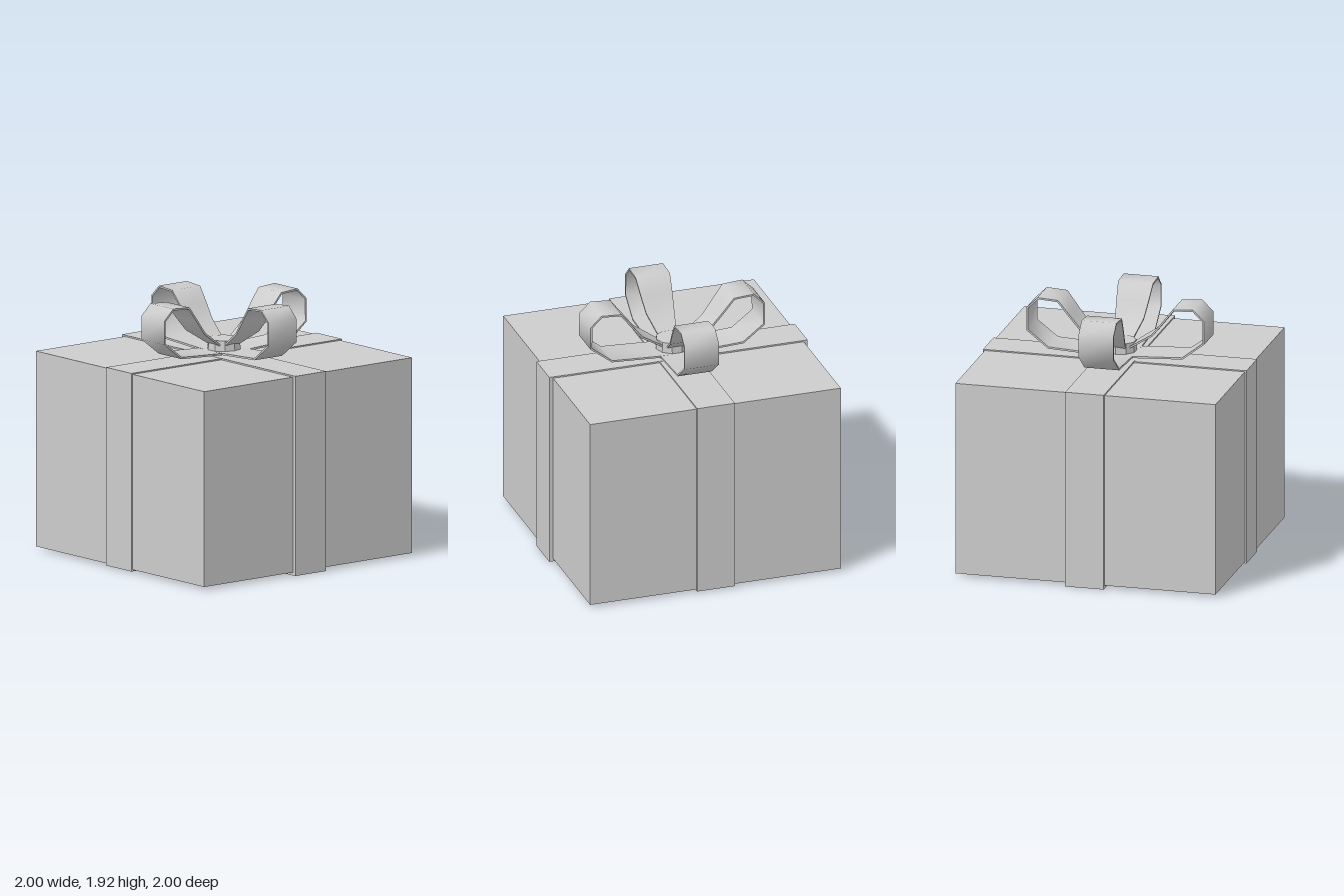
import * as THREE from 'three';

// One bow loop along +x: [x, y, half width] on the outer face, from the lower strand round to the knot
const LOOP = [
  [0, 1.508, 0.132], [0.13, 1.512, 0.132], [0.51, 1.532, 0.132], [0.675, 1.66, 0.132],
  [0.675, 1.835, 0.132], [0.59, 1.918, 0.132], [0.435, 1.908, 0.132],
  [0.35, 1.8, 0.122], [0.265, 1.692, 0.108], [0.12, 1.597, 0.075], [0.03, 1.54, 0.055],
];
const THICKNESS = 0.014;

function loopGeometry() {
  const pts = LOOP.map(([x, y]) => new THREE.Vector2(x, y));
  const last = pts.length - 1;
  // Corners of the ribbon's cross-section at each profile point
  const rings = LOOP.map(([x, y, w], i) => {
    const d = pts[Math.min(i + 1, last)].clone().sub(pts[Math.max(i - 1, 0)]).normalize();
    const ix = x - d.y * THICKNESS, iy = y + d.x * THICKNESS;
    return { oBack: [x, y, -w], oFront: [x, y, w], iBack: [ix, iy, -w], iFront: [ix, iy, w] };
  });
  const position = [], index = [];
  // Outer face, inner face and the two edges, each with its own vertices
  const strips = [['oBack', 'oFront'], ['iFront', 'iBack'], ['oFront', 'iFront'], ['iBack', 'oBack']];
  for (const [a, b] of strips) {
    const base = position.length / 3;
    rings.forEach((r, i) => {
      position.push(...r[a], ...r[b]);
      if (i === last) return;
      const k = base + i * 2;
      index.push(k, k + 2, k + 1, k + 1, k + 2, k + 3);
    });
  }
  const g = new THREE.BufferGeometry();
  g.setAttribute('position', new THREE.Float32BufferAttribute(position, 3));
  g.setIndex(index);
  g.computeVertexNormals();
  return g;
}

export function createModel() {
  const group = new THREE.Group();
  const grey = new THREE.MeshStandardMaterial({ color: 0xcccccc });
  grey.name = 'lightGrey';

  const add = (name, geometry, y = 0) => {
    const mesh = new THREE.Mesh(geometry, grey);
    mesh.name = name;
    mesh.position.y = y;
    group.add(mesh);
    return mesh;
  };
  const block = (name, w, d, y0, y1) =>
    add(name, new THREE.BoxGeometry(w, y1 - y0, d), (y0 + y1) / 2);

  // Box and the two bands crossing round it
  block('giftBox', 1.974, 1.94, 0.022, 1.482);
  block('bandFrontToBack', 0.292, 2, 0, 1.493);
  block('bandSideToSide', 2, 0.292, 0.01, 1.491);

  // Four bow loops
  const loop = loopGeometry();
  for (let i = 0; i < 4; i++) {
    add('bowLoop' + (i + 1), loop, (i % 2) * 0.002).rotation.y = i * Math.PI / 2;
  }

  // Knot over the middle of the bow
  const knot = new THREE.CylinderGeometry(0.12, 0.125, 0.08, 10).toNonIndexed();
  knot.computeVertexNormals();
  add('bowKnot', knot, 1.565);

  return group;
}
